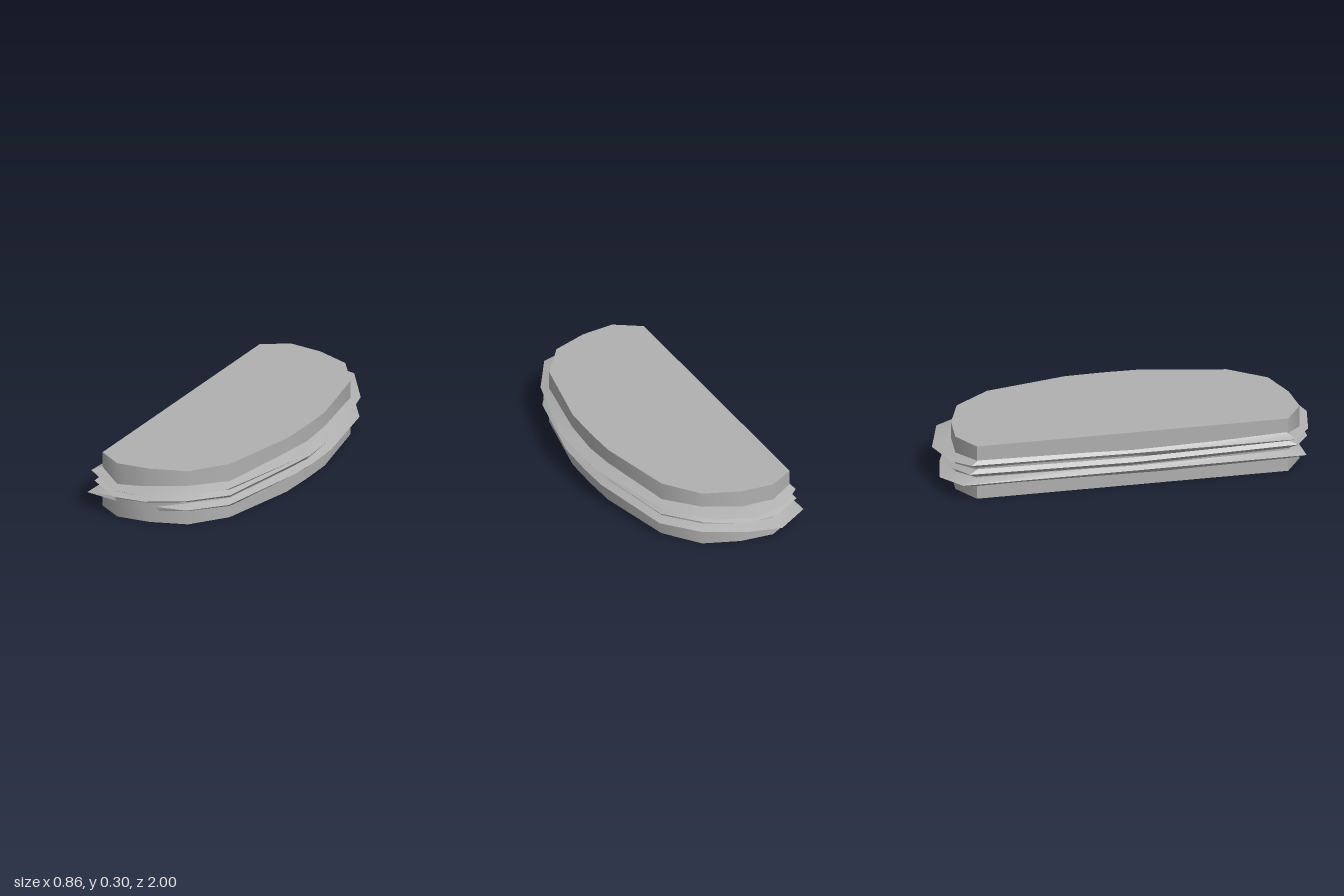
import * as THREE from 'three';
import { toCreasedNormals } from 'three/addons/utils/BufferGeometryUtils.js';

// Half-round bread outline as [x, z], from the front flat corner round to the back
const OUTLINE = [
  [-0.38, 0.83], [-0.24, 0.92], [-0.06, 0.9], [0.13, 0.83], [0.27, 0.64], [0.36, 0.2], [0.365, 0],
  [0.36, -0.2], [0.27, -0.63], [0.13, -0.82], [-0.06, -0.89], [-0.24, -0.905], [-0.38, -0.82], [-0.38, 0],
];

// Outer rims of the wavy fillings as [x, z, y]
const TOP_RIM = [
  [-0.43, 0.86, 0.2], [-0.24, 0.965, 0.165], [-0.06, 0.995, 0.18], [0.16, 0.91, 0.195], [0.29, 0.7, 0.182],
  [0.43, 0.2, 0.2], [0.425, 0, 0.187], [0.43, -0.2, 0.198], [0.29, -0.7, 0.185], [0.12, -0.93, 0.2],
  [-0.1, -1.0, 0.185], [-0.3, -0.94, 0.19], [-0.4, -0.85, 0.2], [-0.39, 0, 0.185],
];
const MIDDLE_RIM = [
  [-0.4, 0.88, 0.155], [-0.24, 0.96, 0.125], [-0.06, 0.95, 0.132], [0.14, 0.88, 0.15], [0.29, 0.67, 0.138],
  [0.38, 0.2, 0.15], [0.385, 0, 0.135], [0.385, -0.2, 0.147], [0.29, -0.66, 0.138], [0.14, -0.86, 0.15],
  [-0.06, -0.94, 0.132], [-0.24, -0.94, 0.13], [-0.4, -0.86, 0.15], [-0.4, 0, 0.138],
];
const BOTTOM_RIM = [
  [-0.42, 0.92, 0.1], [-0.24, 0.91, 0.08], [-0.06, 0.89, 0.085], [0.15, 0.88, 0.1], [0.29, 0.68, 0.088],
  [0.4, 0.2, 0.103], [0.395, 0, 0.088], [0.4, -0.2, 0.1], [0.3, -0.67, 0.088], [0.15, -0.87, 0.1],
  [-0.06, -0.95, 0.085], [-0.25, -0.99, 0.08], [-0.42, -0.9, 0.1], [-0.4, 0, 0.09],
];

// Wedge-edged ring: lower root on the bread, outer rim, upper root on the bread
function fillingGeometry(rim) {
  const rings = [
    rim.map(([, , y], i) => [OUTLINE[i][0] * 0.98, y - 0.032, OUTLINE[i][1] * 0.98]),
    rim.map(([x, z, y]) => [x, y, z]),
    rim.map(([, , y], i) => [OUTLINE[i][0] * 0.98, y + 0.026, OUTLINE[i][1] * 0.98]),
  ];
  const n = rim.length;
  const index = [];
  for (let r = 0; r < 2; r++) {
    for (let i = 0; i < n; i++) {
      const a = r * n + i, b = r * n + (i + 1) % n;
      index.push(a, b, b + n, a, b + n, a + n);
    }
  }
  const geometry = new THREE.BufferGeometry();
  geometry.setAttribute('position', new THREE.Float32BufferAttribute(rings.flat(2), 3));
  geometry.setIndex(index);
  return toCreasedNormals(geometry, 0.6);
}

export function createModel() {
  const model = new THREE.Group();
  model.name = 'sandwich';
  const grey = new THREE.MeshStandardMaterial({ color: 0xb0b0b0 });
  grey.name = 'plain grey';
  const greySheet = grey;
  greySheet.side = THREE.DoubleSide;

  const add = (name, geometry) => {
    const mesh = new THREE.Mesh(geometry, grey);
    mesh.name = name;
    model.add(mesh);
  };

  // Bread body with a flat cut side
  const shape = new THREE.Shape(OUTLINE.map(([x, z]) => new THREE.Vector2(x, -z)));
  const bread = new THREE.ExtrudeGeometry(shape, { depth: 0.3, bevelEnabled: false });
  bread.rotateX(-Math.PI / 2);
  add('bread', toCreasedNormals(bread, 0.7));

  // Fillings sticking out between the slices
  add('topFilling', fillingGeometry(TOP_RIM));
  add('middleFilling', fillingGeometry(MIDDLE_RIM));
  add('bottomFilling', fillingGeometry(BOTTOM_RIM));
  return model;
}
